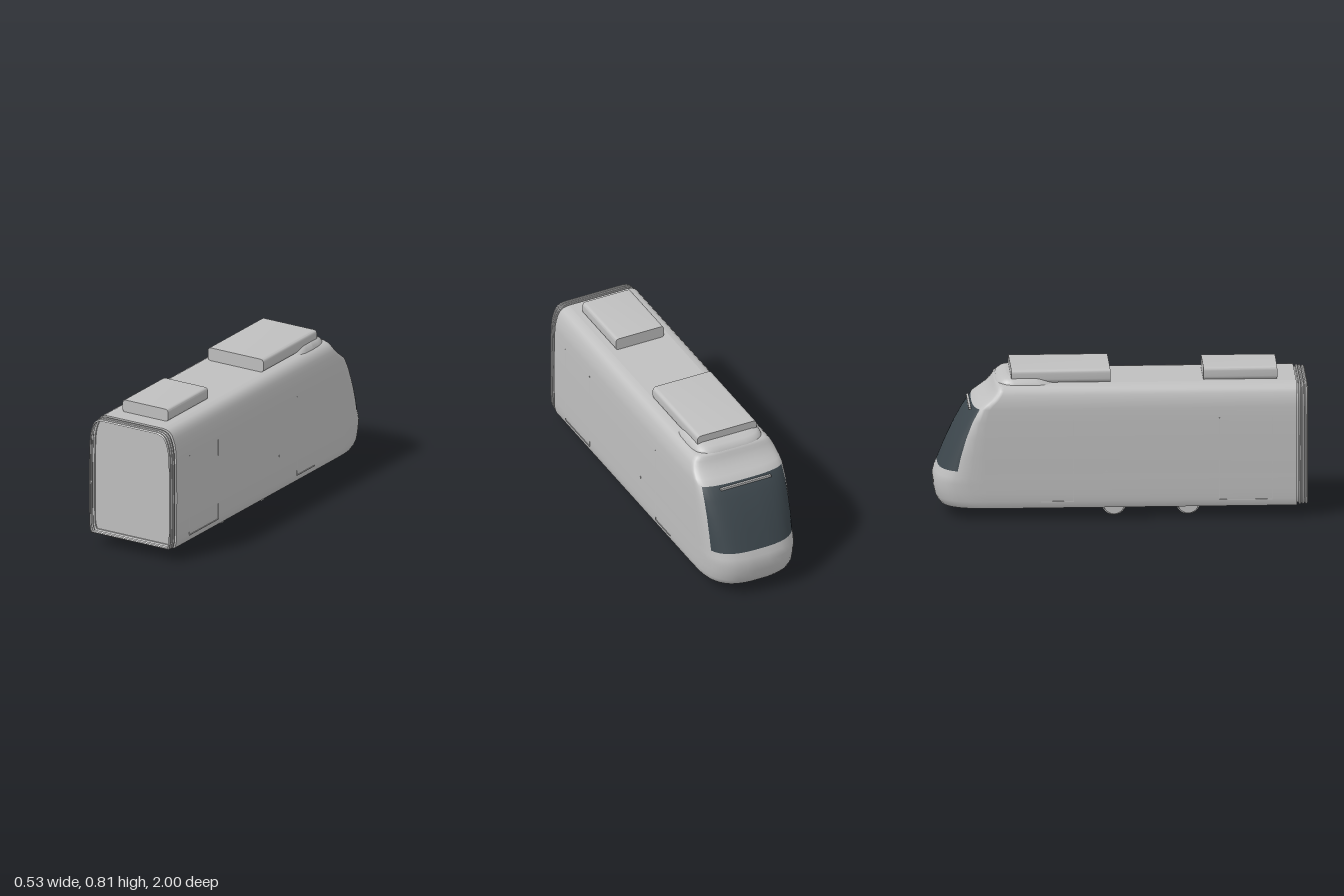
import * as THREE from 'three';
import { toCreasedNormals } from 'three/addons/utils/BufferGeometryUtils.js';

const bodyGrey = new THREE.MeshStandardMaterial({ color: 0xbfbfbf, side: THREE.DoubleSide });
bodyGrey.name = 'bodyGrey';
const darkGlass = new THREE.MeshStandardMaterial({ color: 0x3c464c, side: THREE.DoubleSide });
darkGlass.name = 'darkGlass';

// Horizontal levels of the shell: height, half width, nose tip z, nose corner length
const LEVELS = [
  [0.065, 0.25, -0.962, 0.3], [0.08, 0.256, -0.975, 0.295], [0.105, 0.261, -0.988, 0.29],
  [0.15, 0.262, -0.997, 0.28], [0.2, 0.263, -1, 0.265], [0.235, 0.263, -0.99, 0.255],
  [0.27, 0.263, -0.975, 0.25], [0.35, 0.264, -0.942, 0.21], [0.45, 0.263, -0.895, 0.165],
  [0.54, 0.262, -0.843, 0.12], [0.61, 0.259, -0.793, 0.09], [0.635, 0.256, -0.755, 0.075],
  [0.66, 0.251, -0.72, 0.065], [0.685, 0.243, -0.697, 0.06], [0.705, 0.234, -0.683, 0.055],
  [0.722, 0.219, -0.675, 0.05], [0.731, 0.2, -0.668, 0.05], [0.735, 0.175, -0.662, 0.05],
];
const BACK = 0.94;
const ANGLES = [0, 9, 18, 27.7, 35, 43, 52, 61, 70, 80, 86, 90];

// Skin through rings of points; isGlass(i, j) sends a cell to the second material
function loft(rings, isGlass = () => false) {
  const n = rings[0].length, lists = [[], []];
  for (let i = 0; i < rings.length - 1; i++)
    for (let j = 0; j < n - 1; j++) {
      const a = i * n + j, b = a + 1, c = a + n, d = c + 1;
      lists[isGlass(i, j) ? 1 : 0].push(a, b, c, b, d, c);
    }
  const g = new THREE.BufferGeometry().setFromPoints(rings.flat());
  g.setIndex(lists.flat());
  g.addGroup(0, lists[0].length, 0);
  g.addGroup(lists[0].length, lists[1].length, 1);
  g.computeVertexNormals();
  return g;
}

// Plan outline of the shell at one level, from the rear +x corner round the nose
function planRing([y, hw, tip, len]) {
  const half = ANGLES.map((deg) => {
    const a = THREE.MathUtils.degToRad(deg);
    return new THREE.Vector3(hw * Math.max(0, Math.cos(a)) ** (2 / 3), y, tip + len * (1 - Math.sin(a) ** (2 / 3)));
  });
  half[half.length - 1].x = 0;
  half.unshift(new THREE.Vector3(hw, y, BACK));
  const other = half.slice(0, -1).reverse().map((p) => new THREE.Vector3(-p.x, p.y, p.z));
  return [...half, ...other];
}

// Upright cross-section of the car, scaled about its middle
function section(z, s) {
  const right = LEVELS.map(([y, hw]) => new THREE.Vector3(hw * s, 0.4 + (y - 0.4) * s, z));
  const left = right.map((p) => new THREE.Vector3(-p.x, p.y, p.z)).reverse();
  return [...right, ...left, right[0].clone()];
}

// Rounded closed ring used by the roof fairing
function roundRing(y, hw, z0, z1) {
  const pts = [];
  for (let k = 0; k <= 40; k++) {
    const a = -k / 40 * Math.PI * 2, c = Math.cos(a), s = Math.sin(a);
    pts.push(new THREE.Vector3(hw * Math.sign(c) * Math.sqrt(Math.abs(c)), y,
      (z0 + z1) / 2 + (z1 - z0) / 2 * Math.sign(s) * Math.sqrt(Math.abs(s))));
  }
  return pts;
}

function flatCap(ring, y, up) {
  const shape = new THREE.Shape(ring.map((p) => new THREE.Vector2(p.x, up ? -p.z : p.z)));
  return new THREE.ShapeGeometry(shape).rotateX(up ? -Math.PI / 2 : Math.PI / 2).translate(0, y, 0);
}

// Roof unit with rounded long edges
function roofUnit(hw, y0, y1, z0, z1, r) {
  const s = new THREE.Shape();
  s.moveTo(-hw + r, y0).lineTo(hw - r, y0).quadraticCurveTo(hw, y0, hw, y0 + r)
    .lineTo(hw, y1 - r).quadraticCurveTo(hw, y1, hw - r, y1).lineTo(-hw + r, y1)
    .quadraticCurveTo(-hw, y1, -hw, y1 - r).lineTo(-hw, y0 + r).quadraticCurveTo(-hw, y0, -hw + r, y0);
  const g = new THREE.ExtrudeGeometry(s, { depth: z1 - z0, bevelEnabled: false, curveSegments: 5 });
  return toCreasedNormals(g.translate(0, 0, z0), 0.6);
}

export function createModel() {
  const model = new THREE.Group();
  model.name = 'tramCar';
  const add = (name, geometry, material = bodyGrey, parent = model) => {
    const mesh = new THREE.Mesh(geometry, material);
    mesh.name = name;
    parent.add(mesh);
    return mesh;
  };

  // Shell with windscreen
  const rings = LEVELS.map(planRing), n = rings[0].length;
  const glass = (i, j) => LEVELS[i][0] > 0.26 && LEVELS[i][0] < 0.6 && j >= 4 && j < n - 5;
  add('shellAndWindscreen', loft(rings, glass), [bodyGrey, darkGlass]);
  add('roof', flatCap(rings[rings.length - 1], 0.735, true));
  add('floor', flatCap(rings[0], 0.065, false));
  const rear = new THREE.Shape(section(0, 1).slice(0, -1).map((p) => new THREE.Vector2(p.x, p.y)));
  add('rearWall', new THREE.ShapeGeometry(rear).translate(0, 0, BACK));

  // Open folding gangway at the rear
  const folds = [[0.935, 0.96], [0.948, 0.96], [0.952, 0.988], [0.96, 0.988], [0.965, 0.965], [0.97, 0.985],
    [0.977, 0.985], [0.982, 0.962], [0.987, 0.98], [0.994, 0.98], [1, 0.96]];
  add('gangwayBellows', toCreasedNormals(loft(folds.map(([z, s]) => section(z, s))), 0.5));

  // Roof equipment
  add('frontRoofUnit', roofUnit(0.177, 0.735, 0.808, -0.585, -0.055, 0.022));
  add('rearRoofUnit', roofUnit(0.144, 0.733, 0.803, 0.445, 0.84, 0.02));
  const hump = [[0.728, 0.204, -0.668, -0.33], [0.745, 0.197, -0.66, -0.36], [0.76, 0.183, -0.64, -0.39],
    [0.766, 0.165, -0.605, -0.42]].map((r) => roundRing(...r));
  add('roofFairing', loft(hump));
  add('roofFairingTop', flatCap(hump[3].slice(0, -1), 0.766, true));

  // Wiper bar below the top of the windscreen
  const wiper = add('wiperBar', new THREE.BoxGeometry(0.3, 0.012, 0.012));
  wiper.position.set(0, 0.594, -0.806);

  for (const side of [1, -1]) {
    // Door seams: [z centre, y centre, z size, y size]
    const seams = [[0.81, 0.33, 0.005, 0.45], [0.525, 0.33, 0.005, 0.45], [0.667, 0.102, 0.285, 0.005],
      [-0.255, 0.325, 0.005, 0.45], [-0.342, 0.102, 0.175, 0.005]];
    for (const [z, y, dz, dy] of seams)
      add('doorSeam', new THREE.BoxGeometry(0.007, dy, dz)).position.set(side * 0.2605, y, z);
    add('doorButton', new THREE.BoxGeometry(0.006, 0.012, 0.01)).position.set(side * 0.262, 0.27, -0.08);

    // Headlamp cluster
    const lamps = new THREE.Group();
    lamps.name = 'headlampCluster';
    lamps.position.set(side * 0.155, 0.2, -0.968);
    lamps.rotation.y = Math.PI - side * 0.42;
    for (const [x, y] of [[-0.022, 0.006], [0.002, 0.006], [0.024, 0.006], [0.002, -0.014]])
      add('headlamp', new THREE.TorusGeometry(0.009, 0.003, 6, 14), bodyGrey, lamps).position.set(x, y, 0);
    model.add(lamps);
  }

  // Two wheelsets with flanged wheels
  for (const z of [0.362, -0.035]) {
    const set = new THREE.Group();
    set.name = 'wheelset';
    set.position.set(0, 0.067, z);
    add('axle', new THREE.CylinderGeometry(0.009, 0.009, 0.32, 12).rotateZ(Math.PI / 2), bodyGrey, set);
    for (const side of [1, -1]) {
      const profile = [[0, -0.015], [0.067, -0.015], [0.067, -0.008], [0.06, -0.004], [0.057, 0.015], [0, 0.015]]
        .map(([r, h]) => new THREE.Vector2(r, h));
      const tyre = toCreasedNormals(new THREE.LatheGeometry(profile, 32), 0.5);
      const wheel = add('wheel', tyre, bodyGrey, set);
      wheel.rotation.z = -side * Math.PI / 2;
      wheel.position.x = side * 0.166;
    }
    model.add(set);
  }
  return model;
}
